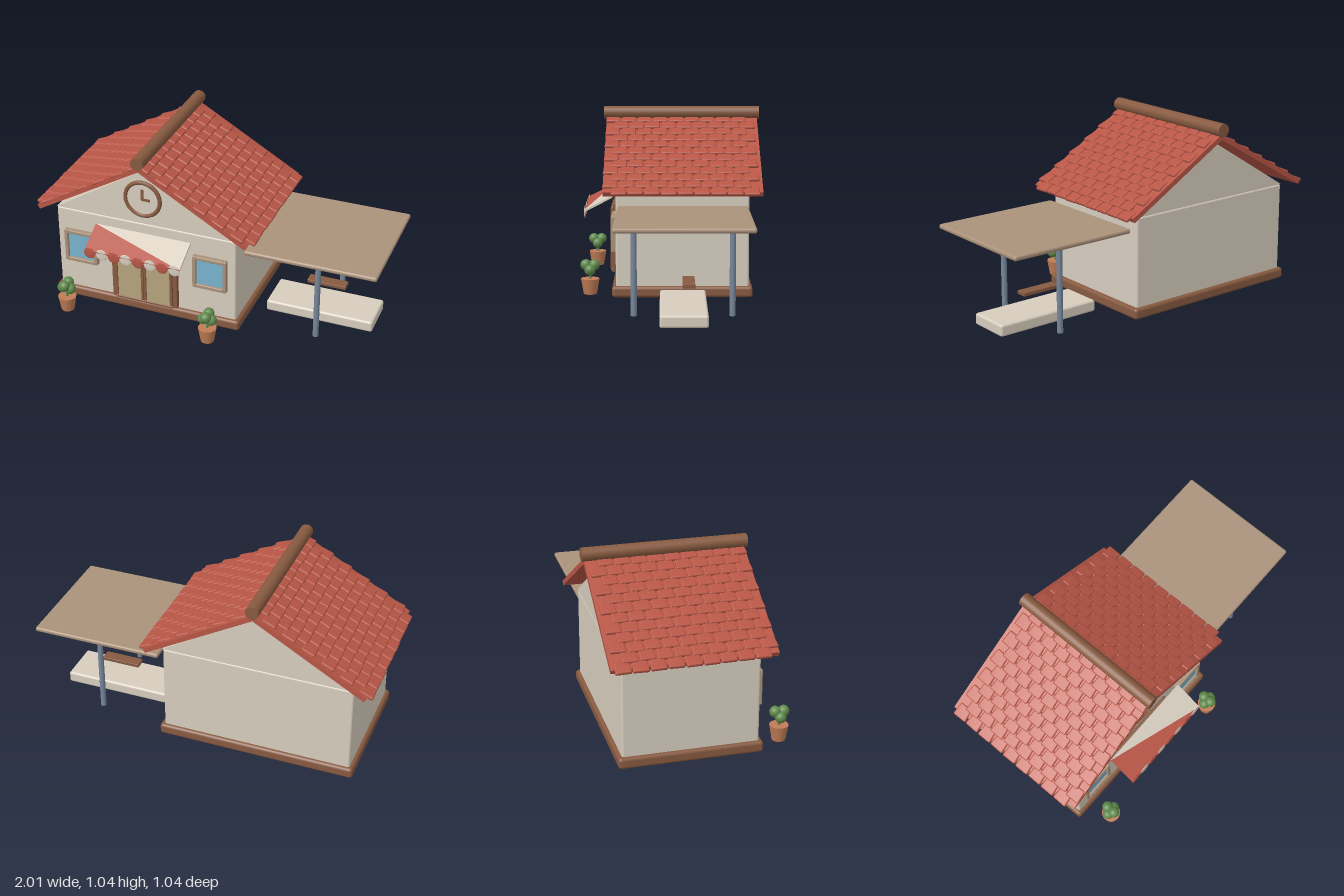
import * as THREE from 'three';
import { mergeGeometries, mergeVertices } from 'three/addons/utils/BufferGeometryUtils.js';
import { RoundedBoxGeometry } from 'three/addons/geometries/RoundedBoxGeometry.js';

const mat = (name, color) => {
  const m = new THREE.MeshStandardMaterial({ color });
  m.name = name;
  return m;
};

export function createModel() {
  const red = mat('clay red', 0xb85646), brown = mat('wood brown', 0x875a40);
  const cream = mat('plaster cream', 0xd6cdbe), tan = mat('weathered tan', 0xab927b);
  const blue = mat('window blue', 0x78b4cf), khaki = mat('door khaki', 0xb5a57c);
  const terracotta = mat('terracotta', 0xc07c55), green = mat('leaf green', 0x5f8a4b);
  const steel = mat('post steel', 0x76869a);

  const model = new THREE.Group();
  const CX = -0.345, CZ = -0.058, FRONT = 0.317;

  const add = (name, geo, material, x = 0, y = 0, z = 0, parent = model) => {
    const m = new THREE.Mesh(geo, material);
    m.name = name;
    m.position.set(x, y, z);
    parent.add(m);
    return m;
  };
  // box given by its limits; a radius rounds the edges
  const box = (name, material, [x0, x1], [y0, y1], [z0, z1], r = 0, parent = model) => {
    const s = [x1 - x0, y1 - y0, z1 - z0];
    const geo = r ? new RoundedBoxGeometry(...s, 3, r) : new THREE.BoxGeometry(...s);
    return add(name, geo, material, (x0 + x1) / 2, (y0 + y1) / 2, (z0 + z1) / 2, parent);
  };
  const prism = (points, depth) => new THREE.ExtrudeGeometry(
    new THREE.Shape(points.map(p => new THREE.Vector2(...p))), { depth, bevelEnabled: false });
  const group = (name, parent = model) => {
    const g = new THREE.Group();
    g.name = name;
    parent.add(g);
    return g;
  };

  // House body
  box('walls', cream, [-0.895, 0.203], [0, 0.585], [-0.433, FRONT], 0.012);
  box('plinth', brown, [-0.917, 0.227], [0.004, 0.068], [-0.454, 0.338], 0.018);
  add('gable', prism([[-0.55, 0], [0.55, 0], [0, 0.34]], 0.75), cream, CX, 0.585, -0.433);

  // Roof tile: a rounded pillow, narrower at the uphill (-x) end
  const W = 0.0925, L = 0.082;
  let tile = new RoundedBoxGeometry(L, 0.02, W - 0.004, 2, 0.009);
  tile.deleteAttribute('normal');
  tile.deleteAttribute('uv');
  tile = mergeVertices(tile, 1e-4);
  const p = tile.attributes.position;
  for (let i = 0; i < p.count; i++) {
    const z = p.getZ(i), u = p.getX(i) / L;
    if (p.getY(i) > 0) p.setY(i, p.getY(i) + 0.005 * (1 - (2 * z / W) ** 2) * (u + 0.5));
    p.setZ(i, z * (0.94 + 0.12 * u));
  }
  tile.computeVertexNormals();

  let seed = 7;
  const jitter = a => {
    seed = (seed * 16807) % 2147483647;
    return (seed / 2147483647 - 0.5) * 2 * a;
  };

  // Two roof slopes, each a slab with twelve staggered rows of tiles
  for (const s of [1, -1]) {
    const slope = group(s > 0 ? 'leftRoofSlope' : 'rightRoofSlope');
    slope.position.set(CX, 0.964, 0);
    slope.rotation.z = -s * Math.PI / 6;
    add('roofSlab', new THREE.BoxGeometry(0.727, 0.028, 0.889), red, s * 0.3635, 0, -0.0595, slope);
    const tiles = [];
    for (let row = 0; row < 12; row++) {
      const start = row % 2 ? -0.442 : -0.49;
      for (let i = 0; i < 9; i++) {
        const e = new THREE.Euler(0, jitter(0.03) + (s > 0 ? 0 : Math.PI), 0);
        const q = new THREE.Quaternion().setFromAxisAngle(new THREE.Vector3(0, 0, 1), s * 0.1)
          .multiply(new THREE.Quaternion().setFromEuler(e));
        const pos = new THREE.Vector3(s * (0.756 - L / 2 - row * 0.063 + jitter(0.003)),
          0.013 + jitter(0.001), start + (i + 0.5) * W);
        tiles.push(tile.clone().applyMatrix4(
          new THREE.Matrix4().compose(pos, q, new THREE.Vector3(1, 1, 1))));
      }
    }
    add('roofTiles', mergeGeometries(tiles), red, 0, 0, 0, slope);
  }
  add('ridgeBeam', new THREE.CylinderGeometry(0.038, 0.038, 0.917, 20), brown, CX, 1.003, -0.0585)
    .rotation.x = Math.PI / 2;

  // Clock on the gable
  const clock = group('clock');
  clock.position.set(CX, 0.753, FRONT);
  add('clockFace', new THREE.CylinderGeometry(0.105, 0.105, 0.02, 32), cream, 0, 0, 0.008, clock)
    .rotation.x = Math.PI / 2;
  add('clockRing', new THREE.TorusGeometry(0.104, 0.012, 10, 36), brown, 0, 0, 0.016, clock);
  box('minuteHand', brown, [-0.007, 0.007], [-0.007, 0.062], [0.016, 0.025], 0, clock);
  box('hourHand', brown, [-0.007, 0.046], [-0.007, 0.007], [0.016, 0.024], 0, clock);

  // Windows: four frame bars around a pane
  for (const x of [-0.743, 0.052]) {
    const win = group('window');
    win.position.set(x, 0.353, FRONT);
    box('windowPane', blue, [-0.085, 0.085], [-0.085, 0.085], [0, 0.014], 0, win);
    for (const s of [-1, 1]) {
      const a = [s * 0.091 - 0.011, s * 0.091 + 0.011];
      box('windowStile', tan, a, [-0.102, 0.102], [-0.005, 0.029], 0.005, win);
      box('windowRail', tan, [-0.082, 0.082], a, [-0.005, 0.029], 0.005, win);
    }
  }

  // Double door: outer frame and two framed leaves
  const door = group('door');
  door.position.set(CX, 0, FRONT);
  for (const s of [-1, 1]) {
    box('doorJamb', brown, [s * 0.188 - 0.014, s * 0.188 + 0.014], [0.075, 0.487], [0, 0.03], 0.005, door);
    box('doorLeaf', khaki, [s * 0.09 - 0.083, s * 0.09 + 0.083], [0.088, 0.46], [0, 0.036], 0, door);
    for (const x of [0.0085, 0.169])
      box('leafStile', brown, [s * x - 0.007, s * x + 0.007], [0.095, 0.455], [0, 0.044], 0, door);
  }
  box('doorHead', brown, [-0.18, 0.18], [0.458, 0.487], [0, 0.03], 0.005, door);
  box('doorSill', brown, [-0.18, 0.18], [0.075, 0.09], [0, 0.04], 0.005, door);

  // Awning split along its diagonal, with a scalloped front edge
  const awning = group('awning');
  const slant = group('awningSheet', awning);
  slant.position.set(-0.635, 0.532, 0.343);
  slant.rotation.x = -Math.PI / 2 + Math.atan2(0.083, 0.162);
  add('awningRed', prism([[0, 0], [0, -0.182], [0.58, -0.182]], 0.011), red, 0, 0, 0, slant);
  add('awningCream', prism([[0, 0], [0.58, -0.182], [0.58, 0]], 0.011), cream, 0, 0, 0, slant);
  const disc = new THREE.SphereGeometry(0.035, 18, 12).scale(1, 1, 0.13);
  for (let i = 0; i < 8; i++)
    add('scallop', disc, i % 2 ? cream : red, -0.603 + i * 0.0733, 0.445, 0.505, awning);

  // Potted shrubs
  for (const x of [-0.785, 0.09]) {
    const plant = group('pottedShrub');
    plant.position.set(x, 0, 0.467);
    add('pot', new THREE.CylinderGeometry(0.053, 0.038, 0.088, 18), terracotta, 0, 0.044, 0, plant);
    add('stem', new THREE.CylinderGeometry(0.008, 0.008, 0.07, 8), green, 0, 0.115, 0, plant);
    for (const s of [-1, 1]) {
      const leaf = new THREE.IcosahedronGeometry(0.032, 2);
      add('leafClump', leaf, green, 0, 0.168, s * 0.024, plant);
      add('leafClump', leaf, green, s * 0.024, 0.142, 0, plant);
    }
  }

  // Side shelter: canopy, posts, platform and a small bench
  box('canopy', tan, [0.24, 1.0], [0.502, 0.53], [-0.425, 0.305], 0.012);
  for (const z of [0.205, -0.32])
    add('canopyPost', new THREE.CylinderGeometry(0.0165, 0.0165, 0.505, 14), steel, 0.645, 0.2525, z);
  box('platform', cream, [0.3, 0.935], [0, 0.068], [-0.186, 0.068], 0.014);
  box('bench', brown, [0.505, 0.735], [0.166, 0.187], [-0.12, -0.054], 0.003);

  return model;
}
